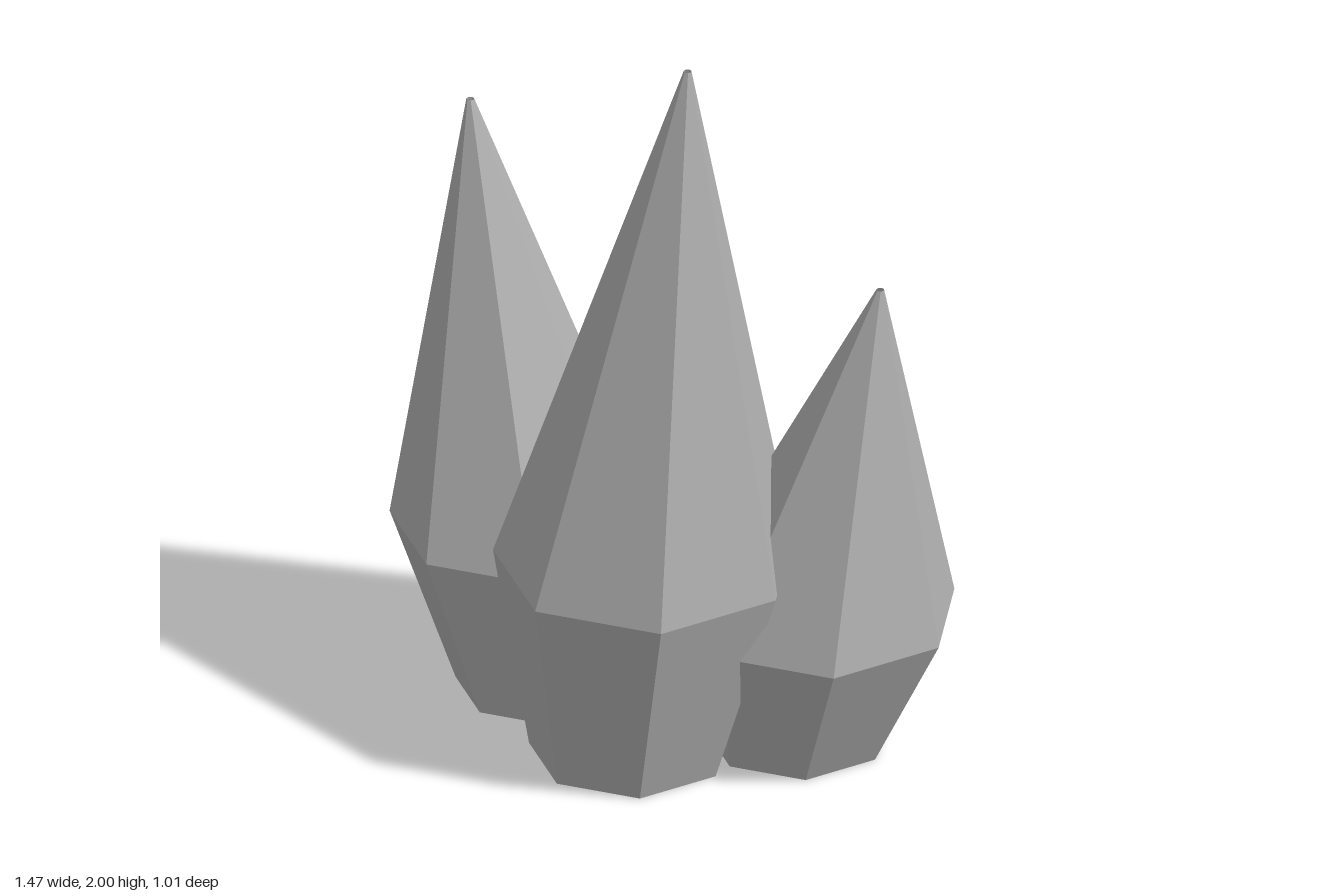
import * as THREE from 'three';

const stone = new THREE.MeshStandardMaterial({ color: 0xb0b0b0, flatShading: true, side: THREE.DoubleSide });
stone.name = 'grey crystal';

// Seven-sided shard, open at both ends, widest at 28% of its height and sheared sideways
function crystal(name, x, z, height, radius, lean) {
  const profile = [
    new THREE.Vector2(radius * 0.66, 0),
    new THREE.Vector2(radius, height * 0.28),
    new THREE.Vector2(0.01, height),
  ];
  const geometry = new THREE.LatheGeometry(profile, 7, Math.PI / 2);
  const p = geometry.attributes.position;
  for (let i = 0; i < p.count; i++) p.setX(i, p.getX(i) + (lean * p.getY(i)) / height);
  geometry.computeVertexNormals();
  const mesh = new THREE.Mesh(geometry, stone);
  mesh.name = name;
  mesh.position.set(x, 0, z);
  return mesh;
}

export function createModel() {
  const group = new THREE.Group();
  group.name = 'crystalCluster';
  group.add(
    crystal('tallCrystal', 0, 0.125, 2, 0.388, 0.172),
    crystal('rightCrystal', -0.37, -0.045, 1.61, 0.338, -0.22),
    crystal('leftCrystal', 0.31, -0.165, 1.355, 0.355, 0.25),
  );
  return group;
}
